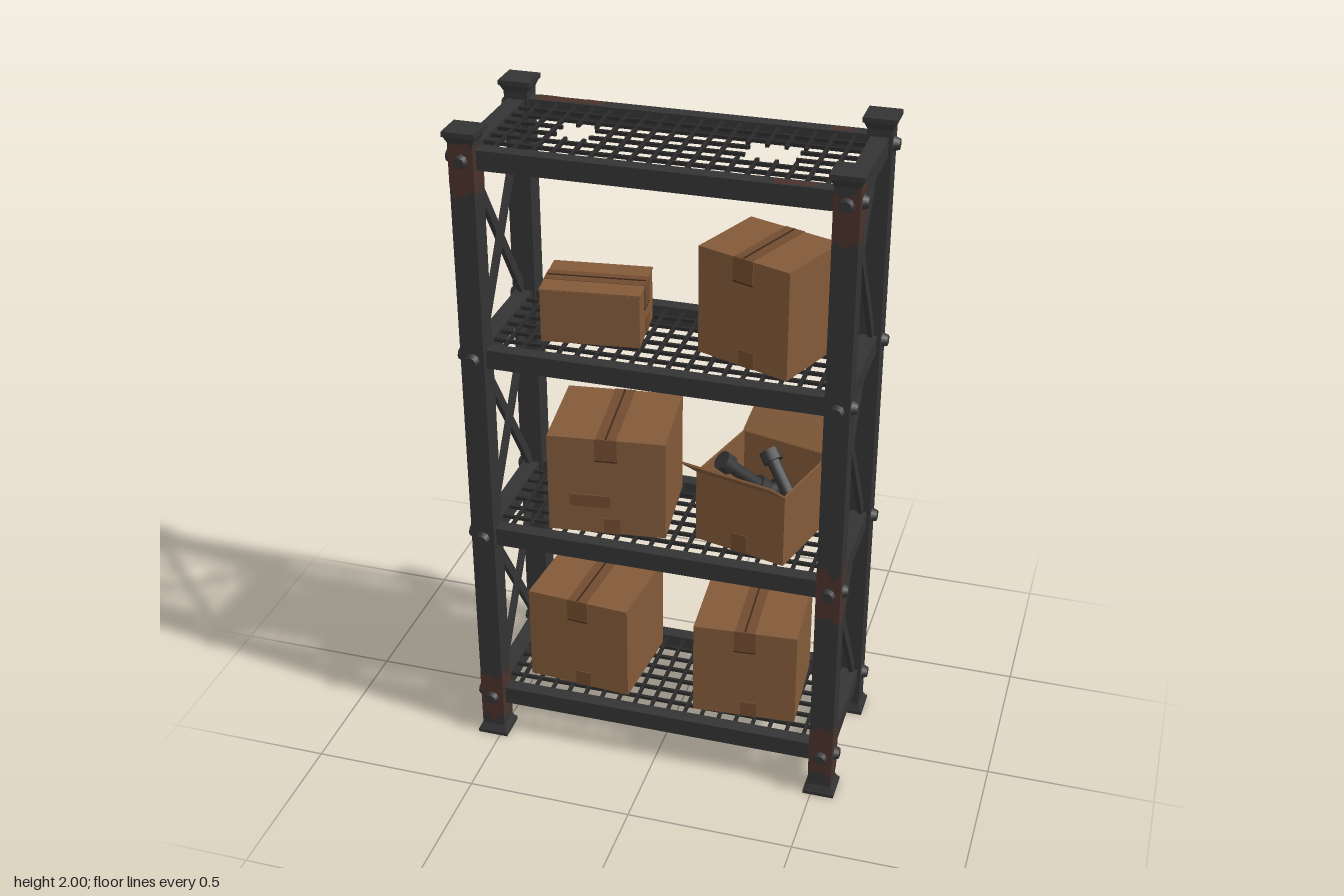
import * as THREE from 'three';
import { mergeGeometries } from 'three/addons/utils/BufferGeometryUtils.js';

const material = (name, color, side = THREE.FrontSide) => {
  const m = new THREE.MeshStandardMaterial({ color, side });
  m.name = name;
  return m;
};

export function createModel() {
  const metal = material('dark metal', 0x343434);
  const wire = material('wire metal', 0x292929);
  const rust = material('rust', 0x4a312a);
  const card = material('cardboard', 0x835a39);
  const tape = material('tape', 0x714c2f);
  const seam = material('dark seam', 0x3f2a1a);

  const root = new THREE.Group();
  root.name = 'storageRack';
  const PX = 0.523, PZ = 0.21, POST = 0.07;
  const levels = [0.138, 0.726, 1.32, 1.917];

  const add = (parent, name, geo, mat, x = 0, y = 0, z = 0) => {
    const m = new THREE.Mesh(geo, mat);
    m.name = name;
    m.position.set(x, y, z);
    parent.add(m);
    return m;
  };
  const box = (parent, name, mat, w, h, d, x, y, z) =>
    add(parent, name, new THREE.BoxGeometry(w, h, d), mat, x, y, z);
  const group = (parent, name, x = 0, y = 0, z = 0, ry = 0) => {
    const g = new THREE.Group();
    g.name = name;
    g.position.set(x, y, z);
    g.rotation.y = ry;
    parent.add(g);
    return g;
  };

  let seed = 7;
  const rand = () => (seed = (seed * 16807) % 2147483647) / 2147483647;

  // Flat patch with ragged upper and lower edges
  const raggedPatch = (w, h) => {
    const n = 5, pts = [];
    for (let i = 0; i <= n; i++) pts.push(new THREE.Vector2(-w / 2 + (w * i) / n, -h / 2 + rand() * h * 0.25));
    for (let i = n; i >= 0; i--) pts.push(new THREE.Vector2(-w / 2 + (w * i) / n, h / 2 - rand() * h * 0.25));
    return new THREE.ShapeGeometry(new THREE.Shape(pts));
  };

  // Square tapered block with flat faces
  const frustum = (top, bottom, h) => {
    const g = new THREE.CylinderGeometry(top / Math.SQRT2, bottom / Math.SQRT2, h, 4)
      .rotateY(Math.PI / 4).toNonIndexed();
    g.computeVertexNormals();
    return g;
  };

  // Posts with foot plates, caps and bolts
  for (const sx of [-1, 1]) for (const sz of [-1, 1]) {
    const post = group(root, 'post', sx * PX, 0, sz * PZ);
    box(post, 'postColumn', metal, POST, 1.97, POST, 0, 1, 0);
    box(post, 'footPlate', metal, 0.094, 0.012, 0.094, 0, 0.006, 0);
    add(post, 'footCollar', frustum(POST, 0.088, 0.02), metal, 0, 0.022, 0);
    box(post, 'capPlate', metal, 0.094, 0.014, 0.094, 0, 1.993, 0);
    add(post, 'capCollar', frustum(0.088, POST, 0.02), metal, 0, 1.976, 0);
    for (const y of levels) {
      const bolt = new THREE.CylinderGeometry(0.016, 0.023, 0.018, 8);
      add(post, 'boltOuter', bolt, metal, sx * 0.043, y, 0).rotation.z = -sx * Math.PI / 2;
      add(post, 'boltFace', bolt, metal, 0, y, sz * 0.043).rotation.x = sz * Math.PI / 2;
    }
    // Rust on the front posts
    const spots = sz < 0 ? [] : sx > 0 ? [[0.145, 0.22], [0.71, 0.24], [1.885, 0.2]] : [[0.145, 0.22], [1.89, 0.18]];
    for (const [y, h] of spots) for (let i = 0; i < 4; i++) {
      const side = group(post, 'rustSide', 0, y, 0, i * Math.PI / 2);
      add(side, 'rustPatch', raggedPatch(POST, h), rust, 0, 0, POST / 2 + 0.002);
    }
  }

  // Wire grid with two broken openings
  const bars = [];
  const bar = (w, d, x, z) => bars.push(new THREE.BoxGeometry(w, 0.01, d).translate(x, 0, z));
  const alongX = (x0, x1, z) => bar(x1 - x0, 0.01, (x0 + x1) / 2, z);
  const alongZ = (z0, z1, x) => bar(0.01, z1 - z0, x, (z0 + z1) / 2);
  for (let i = 0; i < 6; i++) {
    const z = (i - 2.5) * 0.054;
    if (i === 2 || i === 3) {
      alongX(-0.5, -0.33, z); alongX(-0.235, 0.2, z); alongX(0.34, 0.5, z);
    } else alongX(-0.5, 0.5, z);
  }
  for (let i = 0; i < 18; i++) {
    const x = (i - 8.5) * 0.0535;
    if ((x > -0.32 && x < -0.22) || (x > 0.17 && x < 0.36)) {
      alongZ(-0.19, -0.05, x); alongZ(0.05, 0.19, x);
    } else alongZ(-0.19, 0.19, x);
  }
  const gridGeo = mergeGeometries(bars);

  // Shelf frames
  for (const y of levels) {
    const shelf = group(root, 'shelf', 0, y, 0);
    for (const s of [-1, 1]) {
      box(shelf, 'longBeam', metal, 2 * PX, 0.057, 0.042, 0, 0, s * 0.205);
      box(shelf, 'sideBeam', metal, 0.05, 0.055, 2 * PZ, s * PX, 0, 0);
    }
    add(shelf, 'wireGrid', gridGeo, wire, 0, 0.018, 0);
  }
  for (const [x, z, w] of [[-0.37, -0.205, 0.2], [0.38, 0.205, 0.12], [0.41, -0.205, 0.06]])
    add(root, 'beamRust', raggedPatch(w, 0.04), rust, x, 1.947, z).rotation.x = -Math.PI / 2;

  // Crossed braces on both ends
  for (const sx of [-1, 1]) for (let i = 0; i < 3; i++) {
    const y0 = levels[i] + 0.025, y1 = levels[i + 1] - 0.025, dz = 0.36;
    for (const s of [-1, 1]) {
      const brace = box(root, 'crossBrace', metal, 0.014, Math.hypot(y1 - y0, dz), 0.03,
        sx * (PX + s * 0.007), (y0 + y1) / 2, 0);
      brace.rotation.x = s * Math.atan2(dz, y1 - y0);
    }
  }

  // Closed carton: tape runs front to back over the lid
  const carton = (name, x, y, z, w, h, d, ry) => {
    const g = group(root, name, x, y, z, ry);
    box(g, 'cartonBody', card, w, h - 0.004, d, 0, h / 2, 0);
    for (const s of [-1, 1]) {
      box(g, 'lidFlap', card, w / 2 - 0.002, 0.006, d + 0.004, s * w / 4, h - 0.002, 0);
      box(g, 'tapeEnd', tape, 0.066, 0.07, 0.004, 0, h - 0.034, s * (d / 2 + 0.002));
      box(g, 'tapeEdge', seam, 0.066, 0.004, 0.005, 0, h - 0.07, s * (d / 2 + 0.002));
      box(g, 'lowerTape', tape, 0.05, 0.05, 0.003, 0.015, 0.027, s * (d / 2 + 0.001));
    }
    box(g, 'lidSeam', seam, 0.005, 0.003, d, 0, h + 0.003, 0);
    box(g, 'lidTape', tape, 0.06, 0.003, d + 0.006, 0, h + 0.001, 0);
    return g;
  };
  carton('lowerLeftCarton', -0.255, 0.172, 0, 0.325, 0.312, 0.3, -0.08);
  carton('lowerRightCarton', 0.25, 0.165, 0, 0.315, 0.31, 0.3, 0.07);
  const mid = carton('middleLeftCarton', -0.183, 0.75, 0, 0.35, 0.318, 0.305, 0.12);
  box(mid, 'label', tape, 0.12, 0.04, 0.004, -0.05, 0.11, 0.154);
  carton('upperSmallCarton', -0.23, 1.347, 0.01, 0.2, 0.162, 0.285, Math.PI / 2 + 0.12);
  carton('upperTallCarton', 0.268, 1.347, 0, 0.3, 0.325, 0.245, -0.36);

  // Open carton with spread flaps
  const W = 0.29, H = 0.23, D = 0.28, T = 0.006;
  const open = group(root, 'openCarton', 0.268, 0.75, 0, -0.257);
  box(open, 'cartonFloor', card, W, T, D, 0, T / 2, 0);
  for (const s of [-1, 1]) {
    box(open, 'endWall', card, T, H, D, s * (W - T) / 2, H / 2, 0);
    box(open, 'faceWall', card, W, H, T, 0, H / 2, s * (D - T) / 2);
    box(open, 'lowerTape', tape, 0.05, 0.06, 0.003, 0, 0.03, s * (D / 2 + 0.001));
    const flap = box(open, 'openFlap', card, W, 0.115, T, 0, H + 0.036, s * (D / 2 + 0.042));
    flap.rotation.x = s * 0.88;
  }

  // Loose pipe pieces in the open carton
  for (const [x, y, z, rx, rz] of [[-0.05, 0.19, 0.03, 0.7, 0.5], [0.05, 0.18, -0.02, -0.5, 0.75], [0, 0.12, 0, 1.5, 0.2]]) {
    const pipe = group(open, 'pipePiece', x, y, z);
    pipe.rotation.set(rx, 0, rz);
    add(pipe, 'pipeShaft', new THREE.CylinderGeometry(0.02, 0.02, 0.18, 12), metal);
    for (const s of [-1, 1])
      add(pipe, 'pipeCollar', new THREE.CylinderGeometry(0.03, 0.03, 0.035, 12), metal, 0, s * 0.075, 0);
  }

  return root;
}
